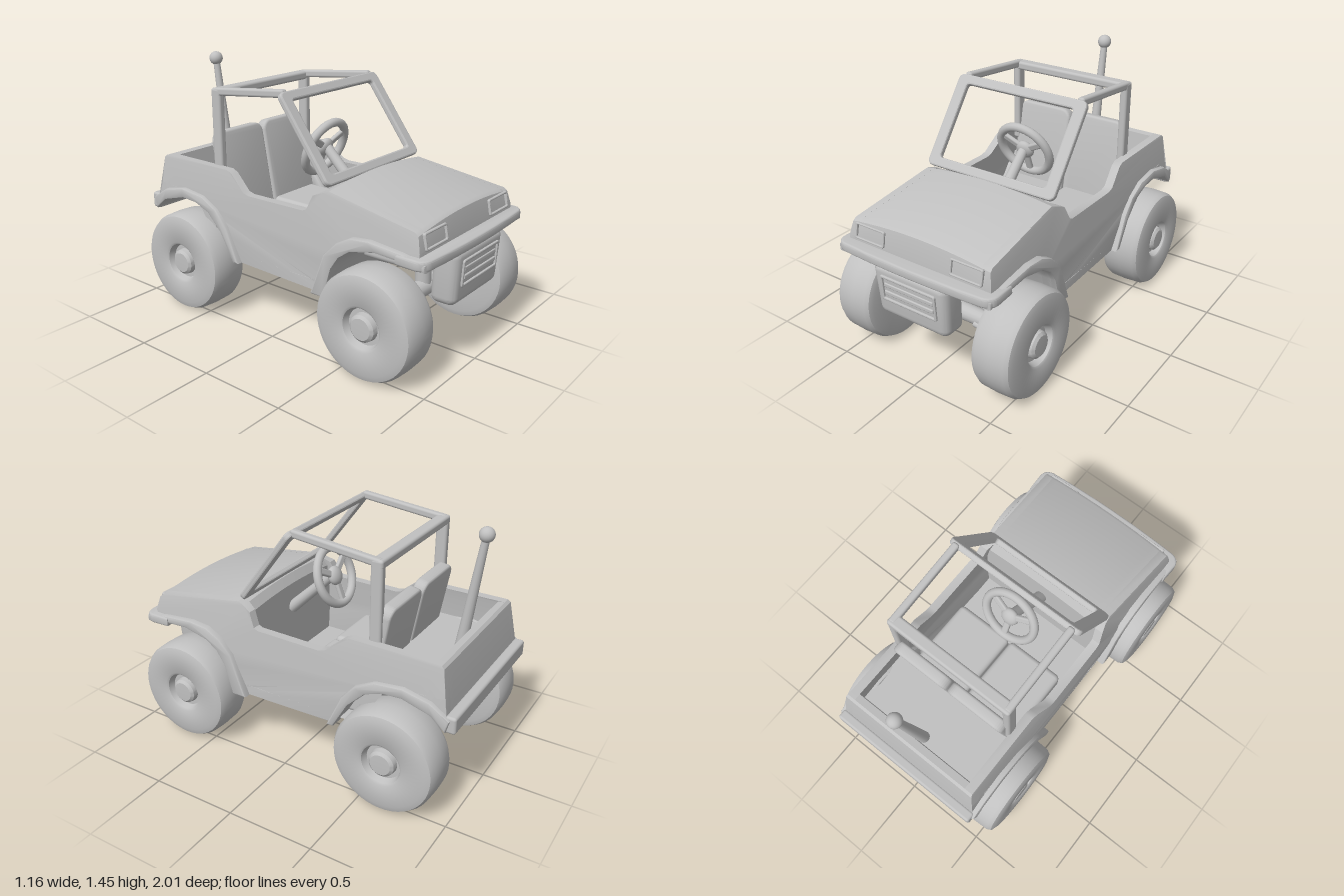
import * as THREE from 'three';
import { toCreasedNormals } from 'three/addons/utils/BufferGeometryUtils.js';
import { RoundedBoxGeometry } from 'three/addons/geometries/RoundedBoxGeometry.js';

const grey = new THREE.MeshStandardMaterial({ color: 0xc0c0c0 });
grey.name = 'light grey';

// Wheel arches as [z, y]: lower edge, then the outer edge of the flare
const frontArch = [[0.36, 0.345], [0.41, 0.52], [0.46, 0.595], [0.53, 0.645], [0.68, 0.68], [0.83, 0.672], [0.97, 0.65]];
const frontFlare = [[0.97, 0.69], [0.83, 0.715], [0.64, 0.73], [0.53, 0.718], [0.44, 0.67], [0.36, 0.59], [0.27, 0.345]];
const rearArch = [[-0.95, 0.55], [-0.87, 0.62], [-0.71, 0.665], [-0.6, 0.658], [-0.5, 0.62], [-0.4, 0.52], [-0.31, 0.36]];
const rearFlare = [[-0.27, 0.36], [-0.36, 0.56], [-0.44, 0.65], [-0.55, 0.705], [-0.71, 0.722], [-0.86, 0.69], [-0.97, 0.62]];

// Half-width of the body at a given height
function halfWidth(y) {
  const rows = [[0.34, 0.45], [0.44, 0.465], [0.7, 0.465], [0.86, 0.442], [0.94, 0.415]];
  for (let i = 1; i < rows.length; i++) {
    const [y0, w0] = rows[i - 1], [y1, w1] = rows[i];
    if (y <= y1) return THREE.MathUtils.mapLinear(Math.max(y, y0), y0, y1, w0, w1);
  }
  return 0.415;
}

// Lower the bonnet gently toward its edges
const crown = (x, y, z) => (y > 0.82 && z > 0.25 ? 0.03 * (x / 0.42) ** 2 : 0);

const outline = (pts) => new THREE.Shape(pts.map(([a, b]) => new THREE.Vector2(a, b)));

// Side outline (z, y) extruded across x and centred on x = 0
function extrudeAcross(pts, width, steps = 1, bevel = 0) {
  const geo = new THREE.ExtrudeGeometry(outline(pts), {
    depth: width - 2 * bevel, steps, bevelEnabled: bevel > 0, bevelSize: bevel, bevelThickness: bevel,
    bevelOffset: -bevel, bevelSegments: 2,
  });
  geo.translate(0, 0, bevel - width / 2).rotateY(-Math.PI / 2);
  return geo;
}

function warp(geo, rule) {
  const p = geo.attributes.position;
  for (let i = 0; i < p.count; i++) p.setXYZ(i, ...rule(p.getX(i), p.getY(i), p.getZ(i)));
  geo.computeVertexNormals();
  return toCreasedNormals(geo, 0.5);
}

function roundRect(w, h, r, Type = THREE.Shape) {
  const s = new Type(), x = w / 2, y = h / 2;
  s.absarc(x - r, y - r, r, 0, Math.PI / 2);
  s.absarc(-x + r, y - r, r, Math.PI / 2, Math.PI);
  s.absarc(-x + r, -y + r, r, Math.PI, Math.PI * 1.5);
  s.absarc(x - r, -y + r, r, Math.PI * 1.5, Math.PI * 2);
  s.closePath();
  return s;
}

// Rectangular frame with a rounded opening
function frameGeometry(w, h, side, end, depth, r) {
  const s = roundRect(w, h, r);
  s.holes.push(roundRect(w - 2 * side, h - 2 * end, r * 0.5, THREE.Path));
  const b = depth * 0.25;
  return new THREE.ExtrudeGeometry(s, {
    depth: depth - 2 * b, bevelSize: b, bevelThickness: b, bevelOffset: -b, bevelSegments: 2, curveSegments: 5,
  }).translate(0, 0, b - depth / 2);
}

export function createModel() {
  const model = new THREE.Group();

  const add = (name, geo, x = 0, y = 0, z = 0, parent = model) => {
    const m = new THREE.Mesh(geo, grey);
    m.name = name;
    m.position.set(x, y, z);
    parent.add(m);
    return m;
  };
  const box = (name, w, h, d, x, y, z, r = 0.015) => add(name, new RoundedBoxGeometry(w, h, d, 3, r), x, y, z);

  // Round rod between two points
  const rod = (name, a, b, r0, r1 = r0) => {
    const A = new THREE.Vector3(...a), B = new THREE.Vector3(...b), d = B.clone().sub(A);
    const m = add(name, new THREE.CylinderGeometry(r1, r0, d.length(), 16));
    m.position.copy(A).add(B).multiplyScalar(0.5);
    m.quaternion.setFromUnitVectors(new THREE.Vector3(0, 1, 0), d.normalize());
    return m;
  };

  // Bonnet, footwell, floor, bed and tailgate in one cross-body profile
  const hood = [[0.92, 0.66], [0.92, 0.73], [0.9, 0.84], [0.88, 0.855], [0.34, 0.935], [0.3, 0.92]];
  const core = [
    ...frontArch.slice(0, 6), ...hood, [0.27, 0.87], [0.27, 0.41], [-0.44, 0.41], [-0.5, 0.71],
    [-0.83, 0.71], [-0.85, 0.88], [-0.89, 0.885], [-0.905, 0.87], [-0.945, 0.64], ...rearArch,
  ];
  add('bodyCore', warp(extrudeAcross(core, 2, 10), (x, y, z) => {
    const nx = x * (halfWidth(y) - 0.004);
    return [nx, y - crown(nx, y, z), z];
  }));

  // Body sides with the cut-down door opening
  const side = [
    ...frontArch.slice(0, 6), ...hood, [0.25, 0.87], [0.215, 0.79], [0.19, 0.78], [-0.2, 0.775], [-0.24, 0.785],
    [-0.34, 0.87], [-0.38, 0.885], [-0.89, 0.885], [-0.905, 0.87], [-0.945, 0.64], ...rearArch,
  ];
  for (const s of [-1, 1]) {
    add('bodySide', warp(extrudeAcross(side, 0.05), (x, y, z) => {
      const nx = x + s * (halfWidth(y) - 0.025);
      return [nx, y - crown(nx, y, z), z];
    }));
    add('frontFender', toCreasedNormals(extrudeAcross([...frontArch, ...frontFlare], 0.1, 1, 0.012), 0.7), s * 0.445);
    add('rearFender', toCreasedNormals(extrudeAcross([...rearArch, ...rearFlare], 0.1, 1, 0.012), 0.7), s * 0.44);
  }

  // Front lip with a curved leading edge
  const lip = new THREE.Shape();
  lip.moveTo(-0.49, 0.82);
  lip.lineTo(0.49, 0.82);
  lip.lineTo(0.495, 0.92);
  lip.quadraticCurveTo(0.49, 0.965, 0.44, 0.97);
  lip.quadraticCurveTo(0, 1.0, -0.44, 0.97);
  lip.quadraticCurveTo(-0.49, 0.965, -0.495, 0.92);
  lip.closePath();
  const lipGeo = new THREE.ExtrudeGeometry(lip, {
    depth: 0.03, bevelSize: 0.012, bevelThickness: 0.012, bevelSegments: 3,
  });
  add('frontLip', toCreasedNormals(lipGeo.rotateX(Math.PI / 2), 0.7), 0, 0.697, 0);
  box('rearBumper', 0.95, 0.095, 0.06, 0, 0.593, -0.97);

  // Grille housing and slats
  add('grilleHousing', warp(new RoundedBoxGeometry(0.47, 0.31, 0.15, 4, 0.045), (x, y, z) =>
    [x * (1 + y * 0.2), y, z + y * 0.06]), 0, 0.525, 0.915);
  add('grilleFrame', frameGeometry(0.36, 0.15, 0.015, 0.015, 0.02, 0.012), 0, 0.55, 0.992).rotation.x = 0.06;
  for (const y of [0.525, 0.57]) box('grilleSlat', 0.32, 0.024, 0.018, 0, y, 0.99, 0.006);
  box('engineBlock', 0.4, 0.2, 0.46, 0, 0.59, 0.54, 0.03);

  // Headlights
  for (const s of [-1, 1]) {
    add('headlightFrame', frameGeometry(0.2, 0.09, 0.012, 0.012, 0.02, 0.01), s * 0.313, 0.77, 0.914).rotation.x = -0.18;
  }

  // Windscreen frame
  const screen = add('windscreenFrame', frameGeometry(0.84, 0.55, 0.07, 0.055, 0.035, 0.035), 0, 1.143, 0.163);
  screen.rotation.x = -0.64;

  // Roll cage
  for (const s of [-1, 1]) {
    box('rollCagePost', 0.045, 0.5, 0.068, s * 0.37, 1.075, -0.497);
    const rail = box('roofRail', 0.042, 0.045, 0.53, s * 0.37, 1.332, -0.255, 0.014);
    rail.rotation.x = -0.1;
  }
  box('rollCageTop', 0.785, 0.05, 0.07, 0, 1.302, -0.497);

  // Seats
  for (const s of [-1, 1]) {
    box('seatCushion', 0.365, 0.2, 0.44, s * 0.187, 0.5, -0.24, 0.03);
    const back = new THREE.ExtrudeGeometry(roundRect(0.365, 0.55, 0.06), {
      depth: 0.04, bevelSize: 0.015, bevelThickness: 0.015, bevelOffset: -0.015, bevelSegments: 3,
    });
    add('seatBack', toCreasedNormals(back, 0.7), s * 0.187, 0.79, -0.515).rotation.x = -0.18;
  }

  // Steering wheel and column
  rod('steeringColumn', [0, 0.72, 0.27], [0, 0.99, -0.01], 0.036, 0.028);
  const steering = new THREE.Group();
  steering.name = 'steeringWheel';
  steering.position.set(0, 0.99, -0.025);
  steering.rotation.x = 0.37;
  model.add(steering);
  add('steeringRim', new THREE.TorusGeometry(0.16, 0.025, 12, 40), 0, 0, 0, steering);
  add('steeringHub', new THREE.SphereGeometry(0.055, 20, 12), 0, 0, 0, steering).scale.z = 0.6;
  for (let i = 0; i < 3; i++) {
    const a = Math.PI / 2 + (i * Math.PI * 2) / 3 + Math.PI;
    const spoke = add('steeringSpoke', new RoundedBoxGeometry(0.15, 0.04, 0.025, 2, 0.01),
      Math.cos(a) * 0.085, Math.sin(a) * 0.085, 0, steering);
    spoke.rotation.z = a;
  }

  // Aerial
  rod('aerial', [0, 0.7, -0.795], [0, 1.39, -0.89], 0.034, 0.02);
  add('aerialBall', new THREE.SphereGeometry(0.041, 24, 16), 0, 1.41, -0.893);

  // Wheel profile: radius, then distance from the centre line
  const tyre = [
    [0, 0.4], [0.1, 0.4], [0.115, 0.345], [0.25, 0.34], [0.28, 0.35], [0.293, 0.375], [0.297, 0.46], [0.293, 0.545],
    [0.28, 0.57], [0.25, 0.58], [0.125, 0.58], [0.113, 0.572], [0.1, 0.535], [0.077, 0.535], [0.073, 0.565],
    [0.058, 0.578], [0, 0.58],
  ].map(([r, h]) => new THREE.Vector2(r, h));
  const wheelGeo = toCreasedNormals(new THREE.LatheGeometry(tyre, 48), 0.6);
  for (const z of [0.665, -0.65]) {
    for (const s of [-1, 1]) {
      add('wheel', wheelGeo, 0, 0.298, z).rotation.z = -s * Math.PI / 2;
      // Axle halves, hub knuckles and suspension arms
      rod('axle', [0, 0.32, z], [s * 0.27, 0.315, z], 0.05, 0.045);
      rod('stubAxle', [s * 0.24, 0.31, z], [s * 0.42, 0.298, z], 0.04, 0.055);
      add('knuckle', new THREE.SphereGeometry(0.058, 16, 12), s * 0.28, 0.31, z).scale.set(1.1, 1, 1);
      rod('suspensionArm', [s * 0.19, 0.42, z], [s * 0.34, 0.34, z], 0.022);
      rod('lowerArm', [s * 0.18, 0.3, z + 0.04], [s * 0.35, 0.255, z + 0.02], 0.018);
    }
  }

  // Struts joining the axles to the body
  rod('rearStrut', [0, 0.32, -0.69], [0, 0.69, -0.73], 0.045, 0.028);
  rod('frontStrut', [0, 0.32, 0.66], [0, 0.55, 0.66], 0.045, 0.045);

  return model;
}
